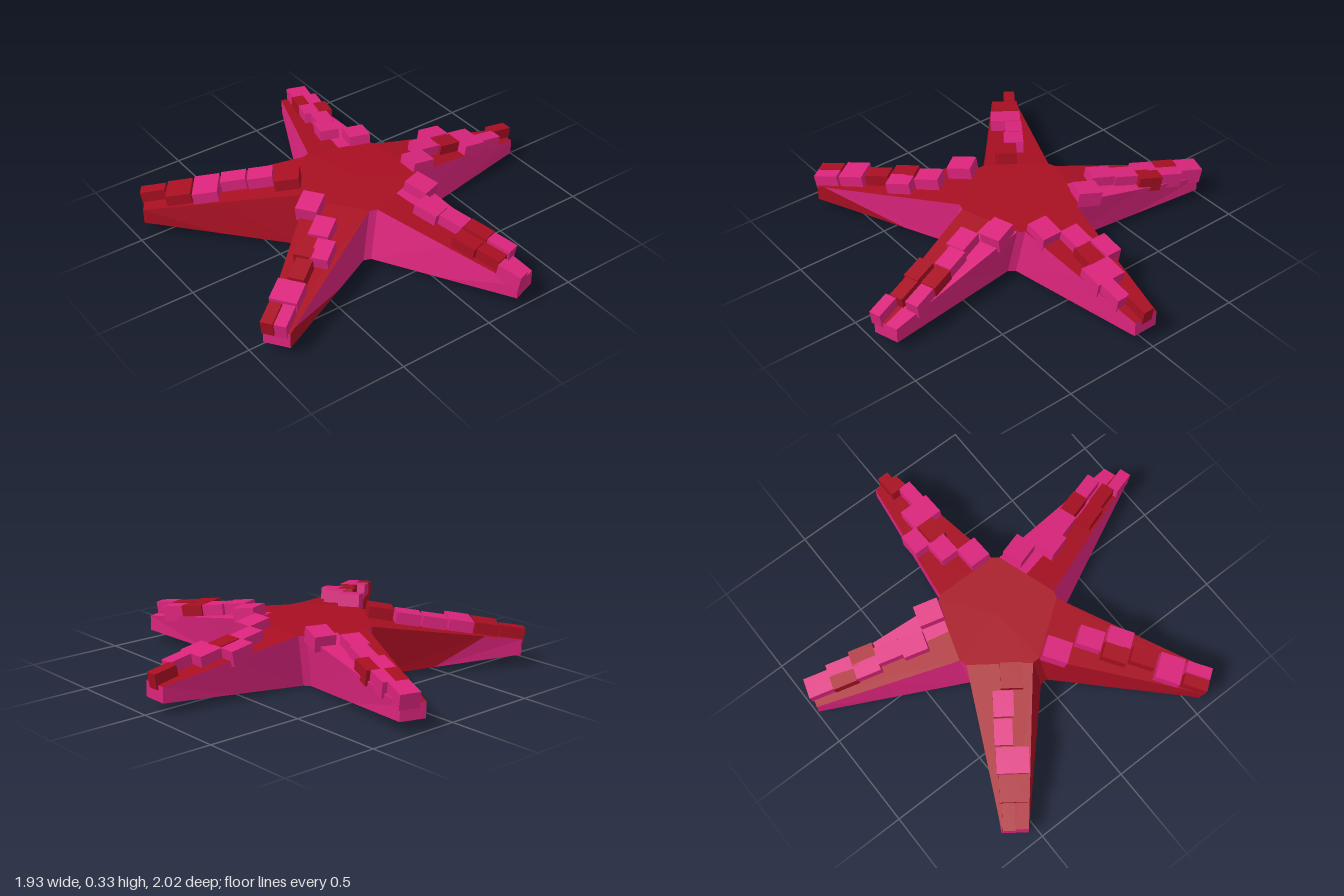
import * as THREE from 'three';

const RED = 0, PINK = 1;
const V = (x, y, z) => new THREE.Vector3(x, y, z);
const STEP = Math.PI * 2 / 5;

// Arms go round from +x towards +z. plus and minus are the two side walls:
// [root colour, tip colour, split at bottom, split at top]; walls not listed are plain pink.
// rows: sideways offsets of the blocks in six rows from root to tip; colours: one letter per block.
const PLAIN = [PINK, PINK, 0.5, 0.5];
const ARMS = [
  { top: [RED, RED], under: RED, start: 0.37, rows: [[0.08], [-0.02], [-0.1, 0], [-0.02, 0.06], [0.05], [0]], colours: 'PPPRPPPR' },
  { top: [PINK, RED], under: PINK, start: 0.33, rows: [[-0.15], [-0.04], [-0.06], [-0.07, 0.03], [-0.07, 0.02], [0.045]], colours: 'PPPRRPRP' },
  {
    top: [RED, RED], under: PINK, start: 0.28, rows: [[0.1], [-0.01], [-0.06, 0.02], [0], [-0.02, 0.045], [-0.025, 0.04]], colours: 'PPPRRPPPR',
    plus: [RED, RED, 0.5, 0.5], minus: [PINK, RED, 0.35, 0.95],
  },
  {
    top: [RED, RED], under: RED, start: 0.3, rows: [[-0.01], [0.035], [0.04], [-0.04, 0.04], [-0.03, 0.035], [0.03]], colours: 'RPPPPRRR',
    plus: [RED, PINK, 0.4, 0.75], minus: [RED, RED, 0.5, 0.5],
  },
  { top: [RED, PINK], under: PINK, start: 0.35, rows: [[0.155], [0.03], [0.045], [0.01, 0.08], [0, 0.065], [0, 0.045]], colours: 'PPPPRRPPP' },
];

// Corner where the body meets an arm; side is +1 or -1 around the arm
function rootCorner(i, side, top) {
  const a = (i + side / 2) * STEP, r = 0.305, w = -side * 0.02;
  const [cx, cz, y] = top ? [-0.036, -0.02, 0.27] : [-0.086, 0, 0];
  return V(cx + r * Math.cos(a) - w * Math.sin(a), y, cz + r * Math.sin(a) + w * Math.cos(a));
}

// Corner of an arm's blunt end
function tipCorner(i, side, top) {
  const a = i * STEP, r = 1.025, w = side * 0.066;
  return V(-0.084 + r * Math.cos(a) - w * Math.sin(a), top ? 0.14 : 0.06, r * Math.sin(a) + w * Math.cos(a));
}

function createBody(materials) {
  const lists = [[], []];
  const heart = V(-0.06, 0.13, 0);
  // Adds a convex face, turned to point away from the middle of the body
  const face = (colour, ...p) => {
    for (let k = 1; k < p.length - 1; k++) {
      const t = [p[0], p[k], p[k + 1]];
      const n = t[1].clone().sub(t[0]).cross(t[2].clone().sub(t[0]));
      if (n.dot(t[0].clone().sub(heart)) < 0) t.reverse();
      t.forEach(v => lists[colour].push(v.x, v.y, v.z));
    }
  };
  const mid = (a, b, t = 0.5) => a.clone().lerp(b, t);
  const topCentre = V(-0.036, 0.27, -0.02), bottomCentre = V(-0.086, 0, 0);

  ARMS.forEach((arm, i) => {
    const R = (s, t) => rootCorner(i, s, t), T = (s, t) => tipCorner(i, s, t);
    const discUnder = i === 1 || i === 2 ? PINK : RED;
    // Central disc sector, upper and lower
    face(RED, topCentre, R(-1, true), R(1, true));
    face(discUnder, bottomCentre, R(-1, false), R(1, false));
    // Arm top in two strips, underside and end
    const r = mid(R(-1, true), R(1, true)), t = mid(T(-1, true), T(1, true));
    face(arm.top[0], R(-1, true), T(-1, true), t, r);
    face(arm.top[1], r, t, T(1, true), R(1, true));
    face(arm.under, R(-1, false), T(-1, false), T(1, false), R(1, false));
    face(PINK, T(-1, false), T(1, false), T(1, true), T(-1, true));
    // Arm sides, each divided into a root and a tip colour
    for (const s of [-1, 1]) {
      const [c0, c1, sb, st] = (s > 0 ? arm.plus : arm.minus) ?? PLAIN;
      const b = mid(R(s, false), T(s, false), sb), u = mid(R(s, true), T(s, true), st);
      face(c0, R(s, false), b, u, R(s, true));
      face(c1, b, T(s, false), T(s, true), u);
    }
    // Narrow face between this arm and the next
    const n = top => rootCorner(i + 1, -1, top);
    face(i === 2 ? RED : PINK, R(1, false), n(false), n(true), R(1, true));
    face(RED, topCentre, R(1, true), n(true));
    face(discUnder, bottomCentre, R(1, false), n(false));
  });

  const g = new THREE.BufferGeometry();
  g.setAttribute('position', new THREE.Float32BufferAttribute(lists.flat(), 3));
  g.addGroup(0, lists[0].length / 3, 0);
  g.addGroup(lists[0].length / 3, lists[1].length / 3, 1);
  g.computeVertexNormals();
  const body = new THREE.Mesh(g, materials);
  body.name = 'starBody';
  return body;
}

// Raised blocks in rows that follow the slope of one arm and narrow towards its tip
function createBlocks(arm, i, materials) {
  const group = new THREE.Group();
  group.name = 'armBlocks' + (i + 1);
  group.position.x = -0.084;
  group.rotation.y = -i * STEP;
  const slope = 0.13 / 0.775;
  let count = 0;
  arm.rows.forEach((row, k) => {
    const r = THREE.MathUtils.lerp(arm.start, 0.975, k / 5);
    const geometry = new THREE.BoxGeometry(0.127, 0.08, 0.11 - 0.01 * k);
    for (const offset of row) {
      const colour = arm.colours[count++] === 'R' ? RED : PINK;
      const block = new THREE.Mesh(geometry, materials[colour]);
      block.position.set(r, 0.288 - slope * Math.max(0, r - 0.25), offset);
      block.rotation.z = -Math.atan(slope);
      block.name = 'block';
      group.add(block);
    }
  });
  return group;
}

export function createModel() {
  const red = new THREE.MeshStandardMaterial({ color: 0xa80f22 });
  red.name = 'crimson';
  const pink = new THREE.MeshStandardMaterial({ color: 0xdb247c });
  pink.name = 'magenta';
  const materials = [red, pink];

  const model = new THREE.Group();
  model.name = 'starfish';
  model.add(createBody(materials));
  ARMS.forEach((arm, i) => model.add(createBlocks(arm, i, materials)));
  return model;
}
